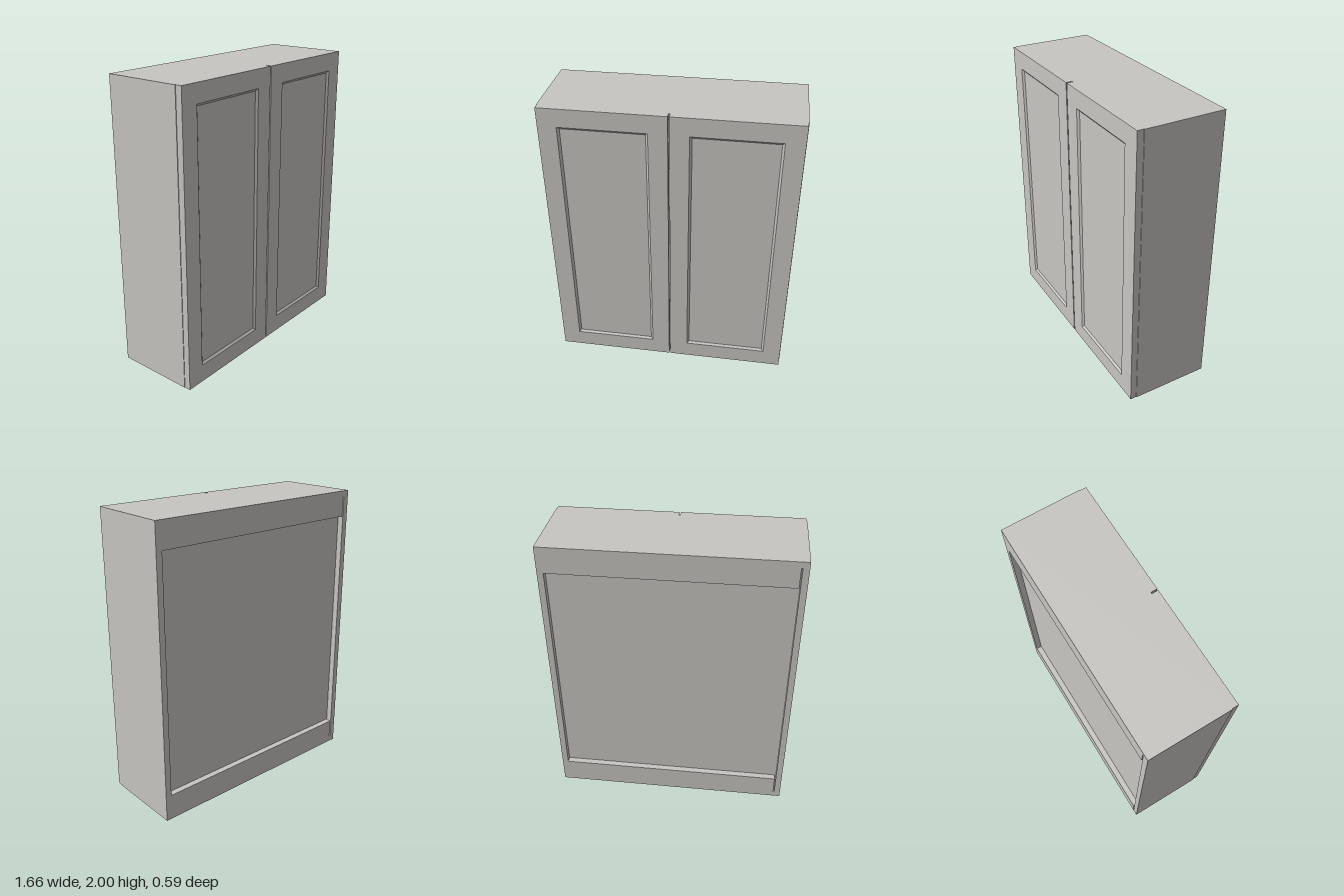
import * as THREE from 'three';

const W = 0.83, H = 2, BACK = -0.297, BODY_FRONT = 0.253, FRONT = 0.297, T = 0.042;

// Door slab: rectangular loops (inset, z) joined from the back face to the sunken panel
function doorGeometry(w, h) {
  const loops = [[0, BODY_FRONT], [0, FRONT], [0.124, FRONT], [0.139, FRONT - 0.013]];
  const corners = loops.map(([inset, z]) => {
    const x = w / 2 - inset, y = h / 2 - inset;
    return [[-x, -y, z], [x, -y, z], [x, y, z], [-x, y, z]];
  });
  const pos = [];
  const quad = (a, b, c, d) => pos.push(...a, ...b, ...c, ...a, ...c, ...d);
  for (let i = 0; i < loops.length - 1; i++) {
    for (let k = 0; k < 4; k++) {
      const n = (k + 1) % 4;
      quad(corners[i][k], corners[i][n], corners[i + 1][n], corners[i + 1][k]);
    }
  }
  quad(...corners[loops.length - 1]);
  quad(...[...corners[0]].reverse());
  const geo = new THREE.BufferGeometry();
  geo.setAttribute('position', new THREE.Float32BufferAttribute(pos, 3));
  geo.computeVertexNormals();
  return geo;
}

export function createModel() {
  const group = new THREE.Group();
  const paint = new THREE.MeshStandardMaterial({ color: 0xc8c6c2 });
  paint.name = 'warmGrey';

  // Board spanning the given min and max on each axis
  const board = (name, x0, x1, y0, y1, z0, z1) => {
    const mesh = new THREE.Mesh(new THREE.BoxGeometry(x1 - x0, y1 - y0, z1 - z0), paint);
    mesh.position.set((x0 + x1) / 2, (y0 + y1) / 2, (z0 + z1) / 2);
    mesh.name = name;
    group.add(mesh);
  };

  // Carcass
  const inner = W - T, panelBack = BACK + T, panelFront = panelBack + 0.02;
  board('leftSide', inner, W, 0, H, BACK, BODY_FRONT);
  board('rightSide', -W, -inner, 0, H, BACK, BODY_FRONT);
  board('bottomBoard', -inner, inner, 0, T, BACK, BODY_FRONT);
  board('topBoard', -inner, inner, H - T, H, BACK, BODY_FRONT);
  board('backPanel', -inner, inner, T, H - T, panelBack, panelFront);

  // Hanging rails behind the back panel, with a sliver of a gap at one end
  board('lowerRail', -inner + 0.008, inner, T, 0.18, BACK, panelBack);
  board('upperRail', -inner + 0.008, inner, H - 0.18, H - T, BACK, panelBack);

  // Shelves
  for (const y of [0.62, 1.3]) {
    board('shelf', -inner, inner, y - T / 2, y + T / 2, panelFront, BODY_FRONT - 0.005);
  }

  // Pair of doors with bevelled, sunken panels
  const gap = 0.005, edge = 0.826;
  const doorGeo = doorGeometry(edge - gap, H);
  for (const s of [-1, 1]) {
    const door = new THREE.Mesh(doorGeo, paint);
    door.position.set(s * (gap + edge) / 2, H / 2, 0);
    door.name = s > 0 ? 'leftDoor' : 'rightDoor';
    group.add(door);
  }
  return group;
}
